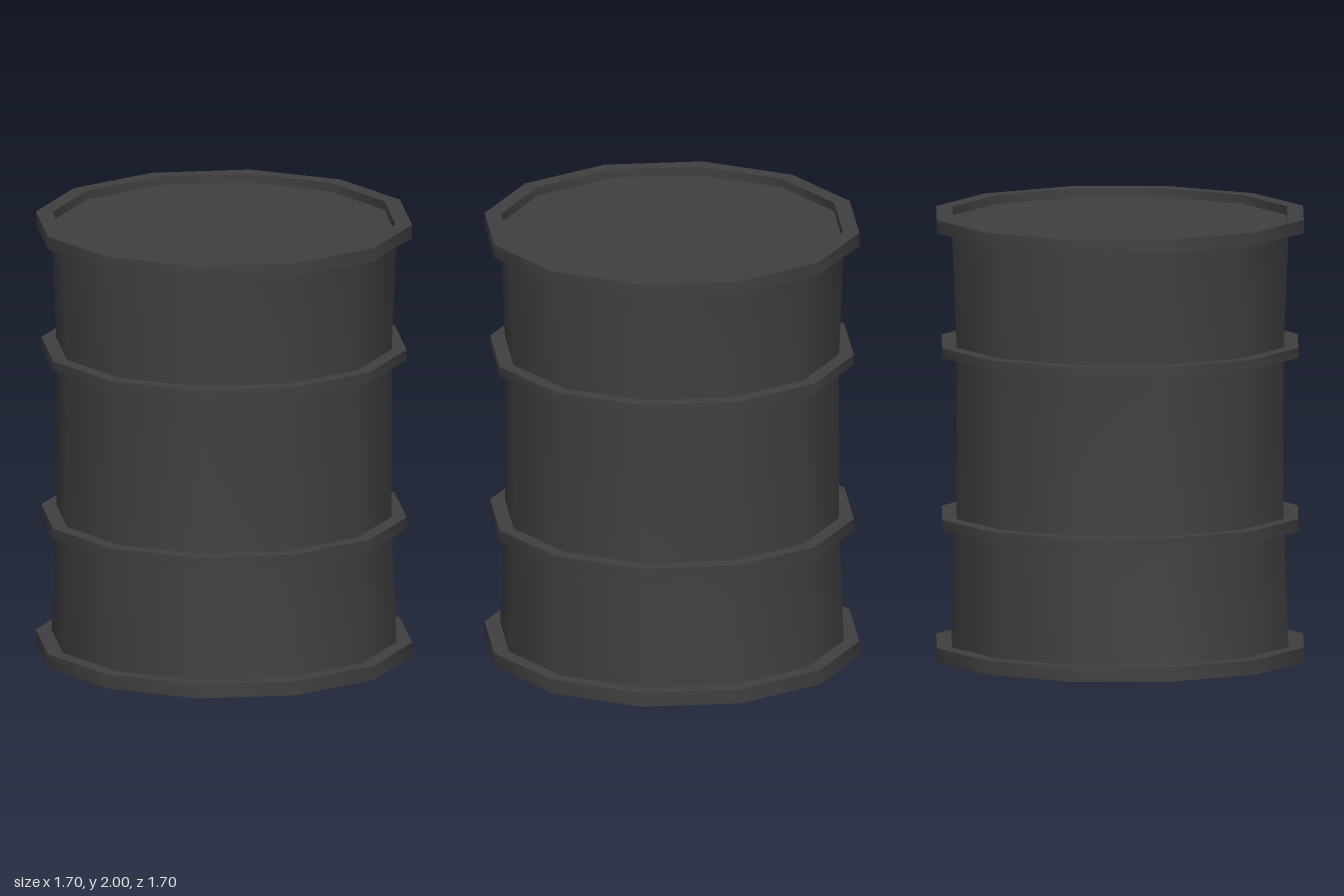
import * as THREE from 'three';
import { toCreasedNormals } from 'three/addons/utils/BufferGeometryUtils.js';

const SIDES = 12;

export function createModel() {
  const drum = new THREE.Group();
  drum.name = 'drum';
  const material = new THREE.MeshStandardMaterial({ color: 0x404040 });

  // Revolve a [radius, height] profile: smooth around, sharp at the profile corners
  const revolve = (name, profile) => {
    const points = profile.map(([r, y]) => new THREE.Vector2(r, y));
    const geometry = toCreasedNormals(new THREE.LatheGeometry(points, SIDES), Math.PI * 0.22);
    const mesh = new THREE.Mesh(geometry, material);
    mesh.name = name;
    drum.add(mesh);
  };

  // Rectangular hoop between two radii and two heights
  const hoop = (name, inner, outer, y0, y1) =>
    revolve(name, [[inner, y0], [outer, y0], [outer, y1], [inner, y1], [inner, y0]]);

  // Body with a slightly narrower middle, closed by recessed ends
  revolve('body', [
    [0, 0.04], [0.78, 0.04], [0.757, 0.62],
    [0.757, 1.4], [0.78, 1.96], [0, 1.96],
  ]);

  // End rims
  hoop('bottomRim', 0.775, 0.85, 0, 0.065);
  hoop('topRim', 0.775, 0.85, 1.94, 2);

  // Rolling hoops
  hoop('lowerHoop', 0.74, 0.825, 0.59, 0.645);
  hoop('upperHoop', 0.74, 0.825, 1.375, 1.42);

  return drum;
}
